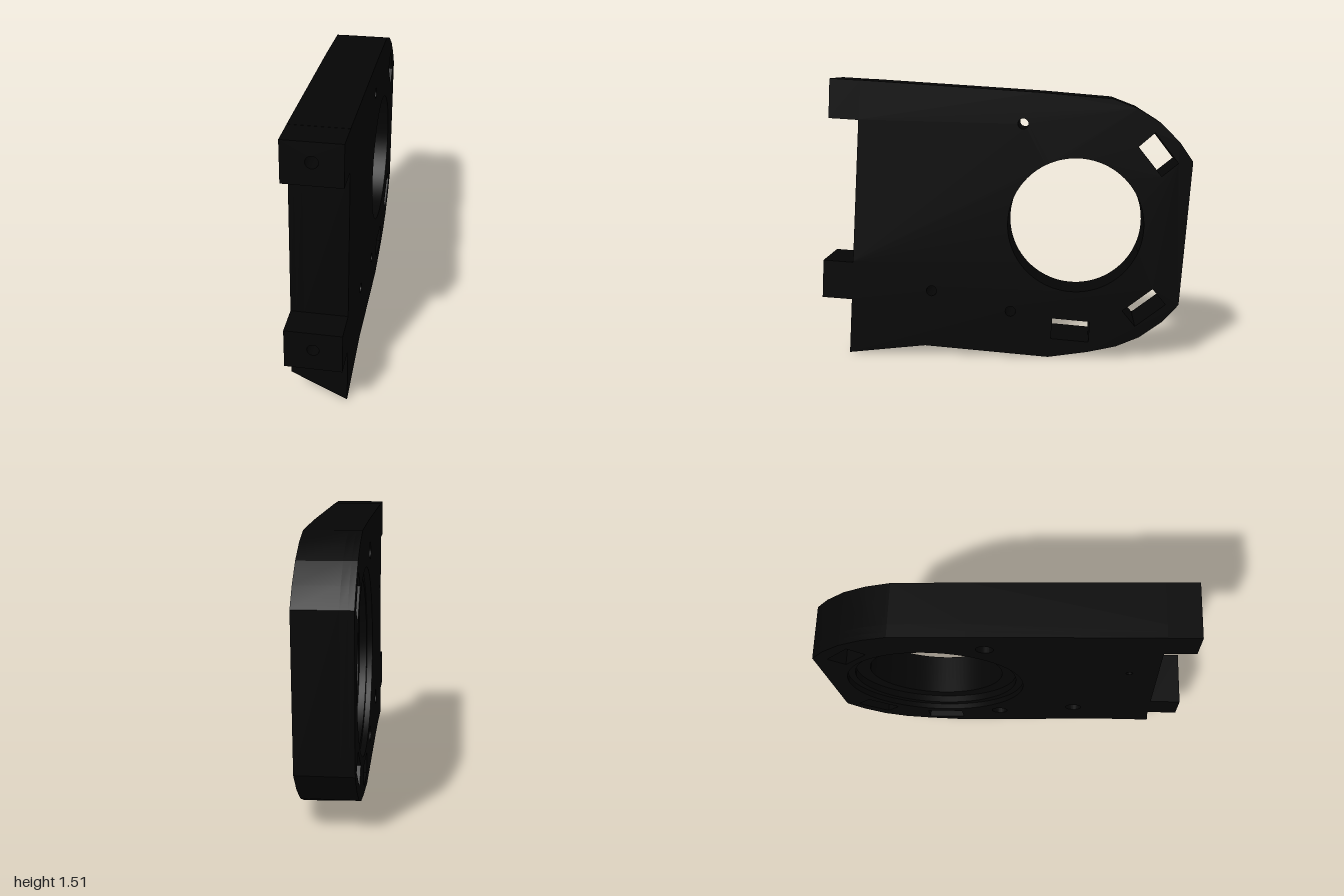
import * as THREE from 'three';
import { toCreasedNormals } from 'three/addons/utils/BufferGeometryUtils.js';

const HALF = 0.143;

// side outline as [z, y], counter-clockwise seen from +x
const OUTLINE = [
  [0.77, 1.296], [0.822, 0.52], [0.835, 0.31], [0.855, 0], [0.62, 0.028], [0.43, 0.05], [-0.25, 0],
  [-0.47, 0.035], [-0.62, 0.07], [-0.745, 0.125], [-0.86, 0.21], [-0.95, 0.31], [-1, 1.085],
  [-0.93, 1.185], [-0.83, 1.285], [-0.71, 1.36], [-0.58, 1.41], [-0.2, 1.442], [0.755, 1.504],
];

// rectangular windows around the bore
const WINDOWS = [
  [[-0.715, 1.16], [-0.8, 1.235], [-0.925, 1.075], [-0.84, 1.005]],
  [[-0.65, 0.27], [-0.81, 0.395], [-0.88, 0.31], [-0.72, 0.185]],
  [[-0.272, 0.22], [-0.475, 0.205], [-0.47, 0.09], [-0.265, 0.105]],
];
const SCREWS = [[-0.11, 1.278], [0.39, 0.362], [-0.043, 0.255]];

// how far the underside rises on the -x face, as [z, rise]
const RISE = [[-0.7, 0], [-0.25, 0.04], [0.43, 0.075], [0.62, 0.115], [0.9, 0.155]];

function riseAt(z) {
  for (let i = 1; i < RISE.length; i++) {
    const [z0, r0] = RISE[i - 1], [z1, r1] = RISE[i];
    if (z >= z0 && z <= z1) return r0 + (r1 - r0) * (z - z0) / (z1 - z0);
  }
  return 0;
}

const points = list => list.map(([z, y]) => new THREE.Vector2(-z, y));

function circle(x, y, r) {
  return new THREE.Path().absarc(x, y, r, 0, Math.PI * 2, true);
}

// one slice of the plate between two x positions
function plateLayer(x0, x1, boreRadius, screwRadius, hasPin) {
  const shape = new THREE.Shape(points(OUTLINE));
  shape.holes.push(circle(0.391, 0.735, boreRadius));
  WINDOWS.forEach(w => shape.holes.push(new THREE.Path(points(w))));
  SCREWS.forEach(([z, y]) => shape.holes.push(circle(-z, y, screwRadius)));
  if (hasPin) shape.holes.push(circle(-0.64, 0.99, 0.018));
  const geo = new THREE.ExtrudeGeometry(shape, { depth: x1 - x0, bevelEnabled: false, curveSegments: 48 });
  geo.rotateY(Math.PI / 2).translate(x0, 0, 0);
  // slope the underside across the thickness
  const p = geo.attributes.position;
  for (let i = 0; i < p.count; i++) {
    if (p.getY(i) < 0.08) {
      const t = (HALF - p.getX(i)) / (2 * HALF);
      p.setY(i, p.getY(i) + t * riseAt(p.getZ(i)));
    }
  }
  return toCreasedNormals(geo, 0.2);
}

// mounting lug with a bolt hole in its front end
function lugGeometry() {
  const h = 0.105;
  const shape = new THREE.Shape([[-HALF, -h], [HALF, -h], [HALF, h], [-HALF, h]].map(p => new THREE.Vector2(...p)));
  shape.holes.push(circle(0, 0.008, 0.03));
  const geo = new THREE.ExtrudeGeometry(shape, { depth: 0.165, bevelEnabled: false, curveSegments: 24 });
  return toCreasedNormals(geo.translate(0, 0, -0.165), 0.3);
}

export function createModel() {
  const model = new THREE.Group();
  model.name = 'bearingPlate';
  const black = new THREE.MeshStandardMaterial({ color: 0x050505 });
  black.name = 'black';

  const add = (name, geo) => {
    const mesh = new THREE.Mesh(geo, black);
    mesh.name = name;
    model.add(mesh);
    return mesh;
  };

  // plate in three slices, giving a stepped bore and countersunk screw holes
  add('outerRecessLayer', plateLayer(-HALF, -0.113, 0.48, 0.045, true));
  add('innerRecessLayer', plateLayer(-0.113, -0.075, 0.44, 0.045, true));
  add('mainPlate', plateLayer(-0.075, HALF, 0.363, 0.028, false));

  // front lugs, tilted with the plate
  for (const [name, z, y] of [['upperLug', 0.925, 1.408], ['lowerLug', 0.993, 0.42]]) {
    const lug = add(name, lugGeometry());
    lug.position.set(0, y, z);
    lug.rotation.x = -0.06;
  }
  return model;
}
